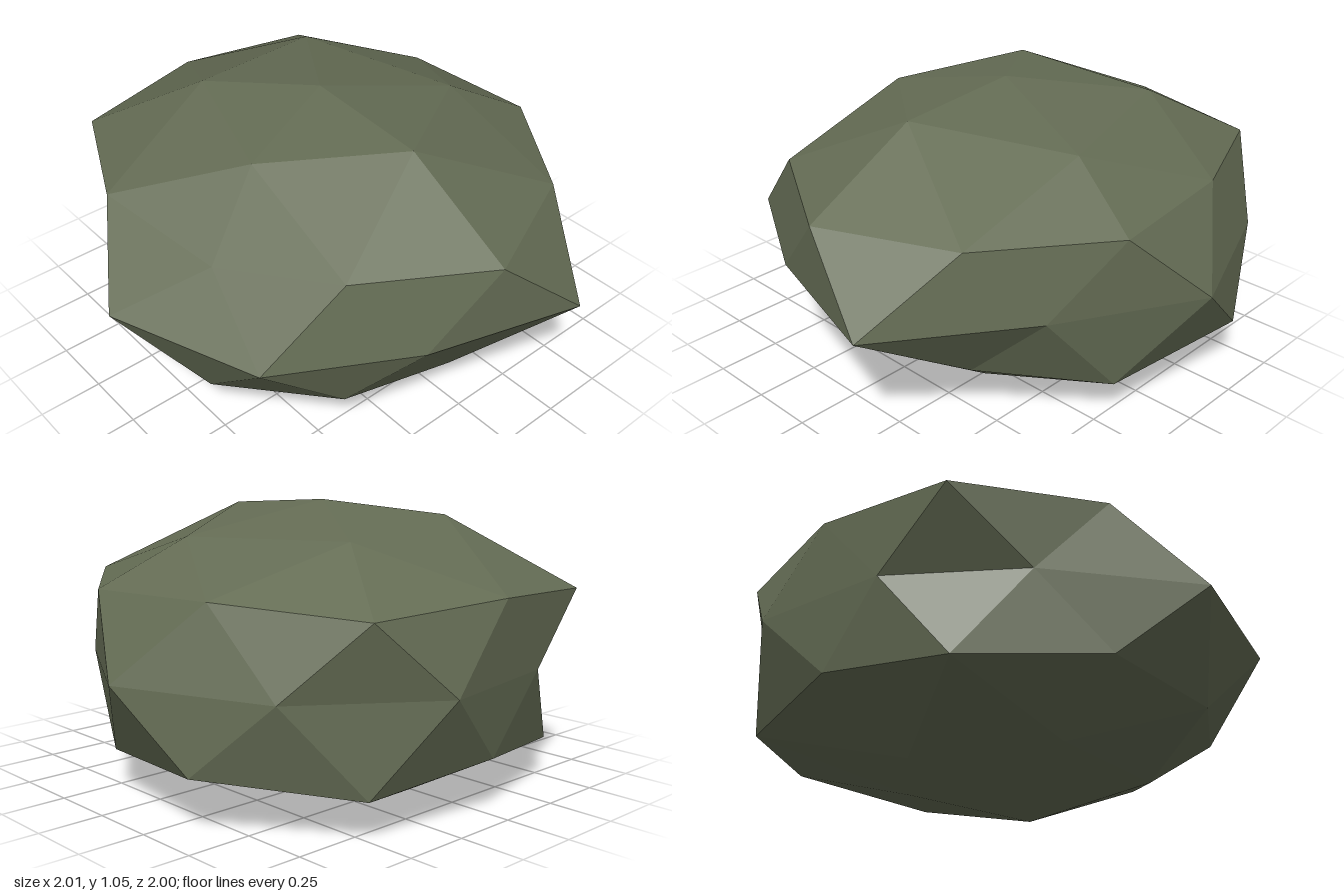
import * as THREE from 'three';

// Faceted boulder: stacked rings of [radius, height] points around a centre.
const CENTRE = new THREE.Vector3(-0.07, 0.48, 0);
const STRETCH_X = 1.06;

// Spread ring points evenly around the vertical axis from a start angle (degrees)
function ring(startDeg, points) {
  return points.map(([r, y], i) => {
    const a = THREE.MathUtils.degToRad(startDeg + (360 / points.length) * i);
    return new THREE.Vector3(CENTRE.x + STRETCH_X * r * Math.cos(a), y, r * Math.sin(a));
  });
}

function boulderGeometry() {
  const crown = ring(0, [[0.48, 1.015], [0.47, 0.975], [0.455, 1.005], [0.56, 0.955], [0.55, 0.935]]);
  const shoulder = ring(0, [
    [0.915, 0.765], [0.81, 0.78], [0.74, 0.70], [0.84, 0.775], [0.935, 0.74],
    [0.85, 0.775], [0.95, 0.75], [0.83, 0.775], [0.885, 0.76], [0.87, 0.765],
  ]);
  const waist = ring(18, [0.885, 0.965, 1, 0.82, 0.84, 0.93, 0.95, 1, 0.87, 1.063].map((r) => [r, 0.48]));
  const flank = ring(0, [
    [0.71, 0.17], [0.79, 0.225], [0.80, 0.18], [0.84, 0.20], [0.84, 0.155],
    [0.81, 0.205], [0.90, 0.15], [0.957, 0.205], [0.84, 0.155], [0.74, 0.22],
  ]);
  const base = ring(36, [[0.545, 0.06], [0.475, 0.025], [0.45, 0.0], [0.42, 0.04], [0.48, 0.025]]);

  const positions = [];
  // Add a triangle, turned so that it faces away from the centre
  function face(a, b, c) {
    const normal = b.clone().sub(a).cross(c.clone().sub(a));
    const outward = normal.dot(a.clone().sub(CENTRE)) > 0;
    for (const p of outward ? [a, b, c] : [a, c, b]) positions.push(p.x, p.y, p.z);
  }

  // Close a ten-point ring with a five-point ring and a pole
  function cap(pole, inner, outer, offset) {
    for (let k = 0; k < 5; k++) {
      const a = inner[k], b = inner[(k + 1) % 5];
      const i = 2 * k + offset;
      const mid = outer[(i + 1) % 10];
      face(pole, a, b);
      face(a, b, mid);
      face(a, outer[i % 10], mid);
      face(b, mid, outer[(i + 2) % 10]);
    }
  }
  cap(new THREE.Vector3(-0.07, 1.055, 0), crown, shoulder, 0);
  cap(new THREE.Vector3(-0.07, 0.012, 0), base, flank, 1);

  // Zigzag bands above and below the waist
  for (const band of [shoulder, flank]) {
    for (let i = 0; i < 10; i++) {
      const next = (i + 1) % 10;
      face(band[i], waist[i], band[next]);
      face(waist[i], waist[next], band[next]);
    }
  }

  const geometry = new THREE.BufferGeometry();
  geometry.setAttribute('position', new THREE.Float32BufferAttribute(positions, 3));
  geometry.computeVertexNormals();
  return geometry;
}

export function createModel() {
  const stone = new THREE.MeshStandardMaterial({ color: 0x646c54, flatShading: true });
  stone.name = 'mossy stone';

  const boulder = new THREE.Mesh(boulderGeometry(), stone);
  boulder.name = 'boulder';

  const model = new THREE.Group();
  model.name = 'rock';
  model.add(boulder);
  return model;
}
